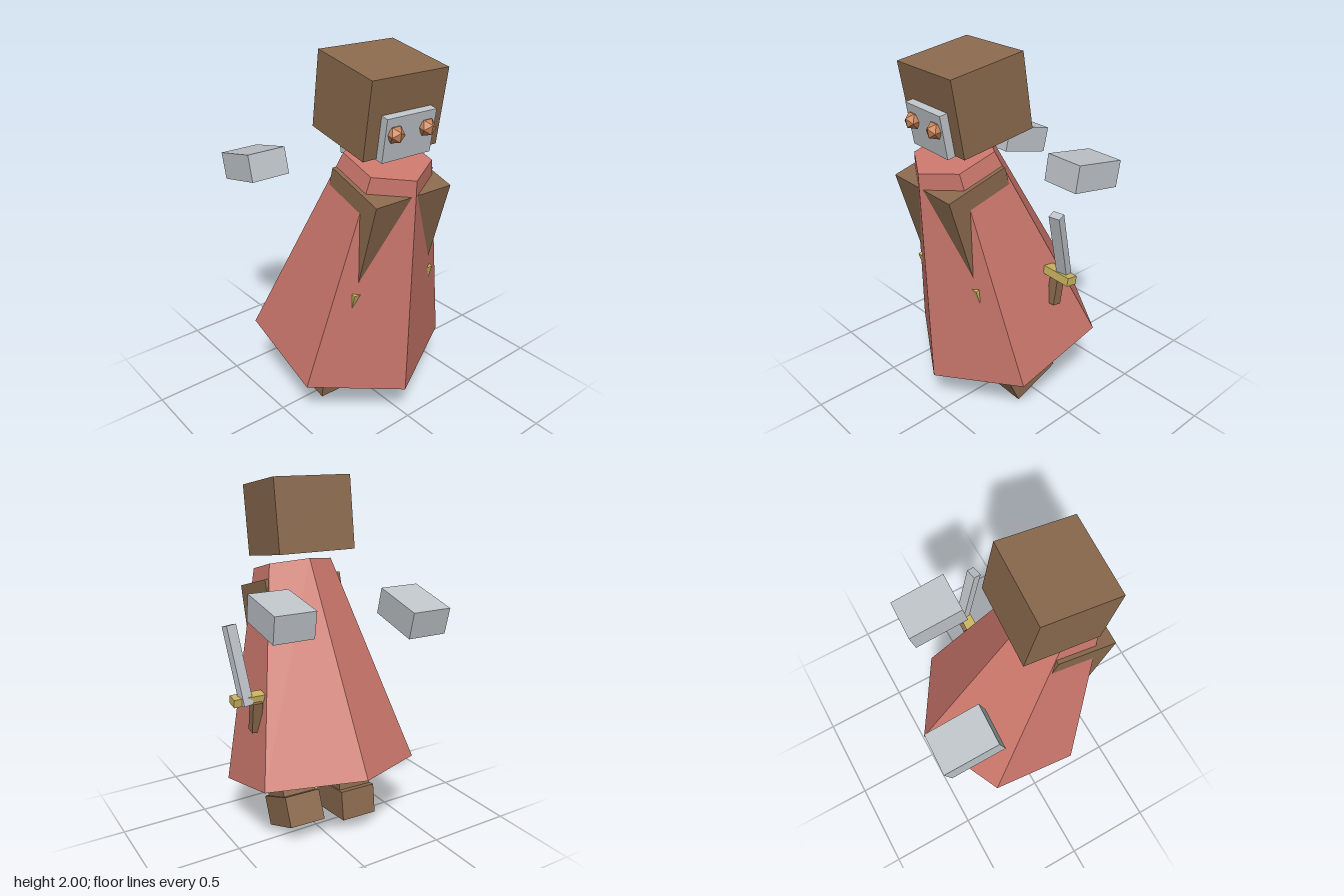
import * as THREE from 'three';

const mat = (name, color) => {
  const m = new THREE.MeshStandardMaterial({ color, flatShading: true });
  m.name = name;
  return m;
};
const deg = THREE.MathUtils.degToRad;

export function createModel() {
  const red = mat('robe red', 0xcb776c);
  const brown = mat('leather brown', 0x8b6a4e);
  const grey = mat('steel grey', 0xc0c5ca);
  const gold = mat('brass gold', 0xcbb460);
  const copper = mat('eye copper', 0xc98458);

  const model = new THREE.Group();
  model.name = 'robedFigure';

  // Sets position and orientation (pitch, yaw, roll in degrees)
  const place = (obj, pos, pitch = 0, yaw = 0, roll = 0) => {
    obj.position.set(...pos);
    obj.rotation.set(deg(pitch), deg(yaw), deg(roll), 'YXZ');
    return obj;
  };
  const add = (parent, name, geo, material, pos, ...angles) => {
    const mesh = new THREE.Mesh(geo, material);
    mesh.name = name;
    parent.add(place(mesh, pos, ...angles));
    return mesh;
  };
  const group = (name, pos, ...angles) => {
    const g = new THREE.Group();
    g.name = name;
    model.add(place(g, pos, ...angles));
    return g;
  };
  const box = (w, h, d) => new THREE.BoxGeometry(w, h, d);

  // Body leaning forward: six-sided robe, with torso and belt corners poking through
  const body = group('body', [-0.027, 0.37, 0.005], 16, -2.4);
  add(body, 'robe', new THREE.CylinderGeometry(0.22, 0.536, 1.18, 6), red, [0, 0.59, 0]);
  add(body, 'torso', box(0.465, 0.69, 0.35), brown, [0, 0.753, 0.057]);
  add(body, 'belt', box(0.52, 0.12, 0.4), gold, [0, 0.51, 0.055]);

  // Head with face plate and faceted eyes
  const head = group('head', [-0.035, 1.775, 0.247], 9.2, -3.5);
  add(head, 'skull', box(0.443, 0.39, 0.415), brown, [0, 0, 0]);
  add(head, 'facePlate', box(0.29, 0.22, 0.05), grey, [0, -0.09, 0.225]);
  for (const side of [-1, 1]) {
    add(head, side > 0 ? 'leftEye' : 'rightEye', new THREE.IcosahedronGeometry(0.045, 0), copper,
      [side * 0.093, -0.06, 0.258]);
  }

  // Legs in mid-stride, each with a wider foot
  const leg = (name, pos, pitch) => {
    const g = group(name, pos, pitch, -2.4);
    add(g, 'foot', box(0.213, 0.171, 0.298), brown, [0, 0, 0]);
    add(g, 'shin', box(0.195, 0.42, 0.225), brown, [0, 0.25, 0]);
  };
  leg('leftLeg', [0.13, 0.141, 0.028], 24);
  leg('rightLeg', [-0.192, 0.155, -0.02], 8);

  // Floating gauntlets
  add(model, 'leftGauntlet', box(0.223, 0.145, 0.303), grey, [0.327, 1.365, -0.215], -9, -2);
  add(model, 'rightGauntlet', box(0.22, 0.145, 0.3), grey, [-0.354, 1.34, -0.377], -13.5, -2.4);

  // Dagger beside the left hip
  const dagger = group('dagger', [0, 0, 0]);
  add(dagger, 'grip', box(0.055, 0.175, 0.05), brown, [0.372, 0.773, 0.005], -9, -2.4);
  add(dagger, 'guard', box(0.176, 0.045, 0.062), gold, [0.411, 0.875, 0.018], -8, -2.4);
  add(dagger, 'blade', box(0.06, 0.432, 0.045), grey, [0.443, 1.055, 0.053], 16, 11, -1.5);

  return model;
}
